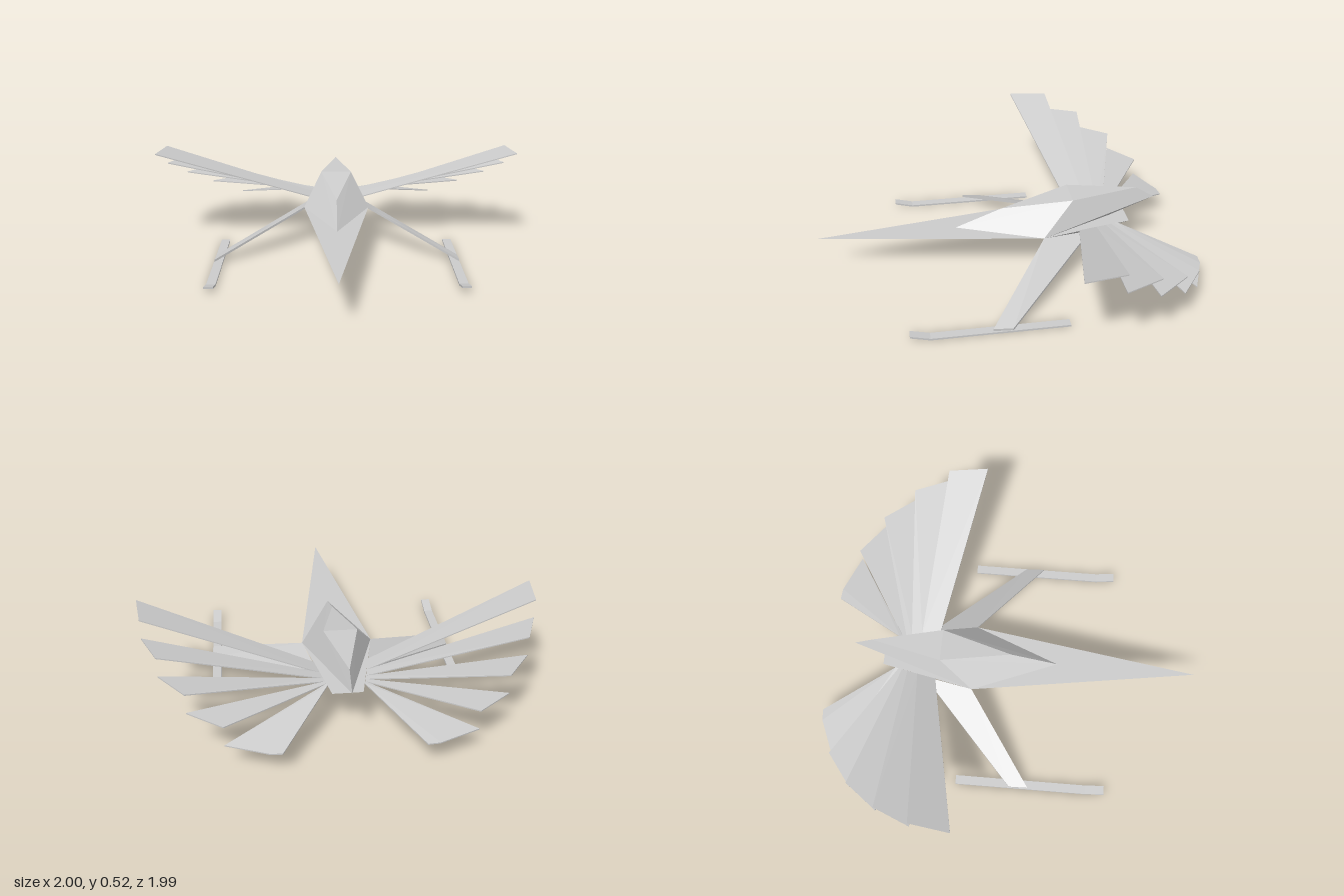
import * as THREE from 'three';
import { ConvexGeometry } from 'three/addons/geometries/ConvexGeometry.js';

const material = new THREE.MeshStandardMaterial({ color: 0xcccccc, flatShading: true, side: THREE.DoubleSide });

// Faceted solid wrapped around a few corner points
function solid(name, points) {
  const mesh = new THREE.Mesh(new ConvexGeometry(points.map(p => new THREE.Vector3(...p))), material);
  mesh.name = name;
  return mesh;
}

// Thin plate: an outline given a small vertical thickness
function plate(name, outline, t) {
  return solid(name, outline.flatMap(([x, y, z]) => [[x, y + t / 2, z], [x, y - t / 2, z]]));
}

// Adds both the +x and -x versions of a corner
const both = (x, y, z) => [[x, y, z], [-x, y, z]];

export function createModel() {
  const model = new THREE.Group();
  model.name = 'gliderCraft';

  // Long pointed lower hull with a V keel
  model.add(solid('lowerHull', [
    [0, 0.218, 0.99], ...both(0.18, 0.218, -0.2), ...both(0.075, 0.218, -0.69), [0, 0.12, -0.49],
  ]));

  // Faceted upper hull with a flat tapering roof
  model.add(solid('upperHull', [
    [0, 0.218, 0.25], [0, 0.315, 0], ...both(0.085, 0.38, -0.37), [0, 0.38, -0.74],
    [0, 0.315, -0.84], ...both(0.18, 0.218, -0.2), [0, 0.218, -0.6],
  ]));

  // Roots and tips of the fan blades, front to back
  const roots = [[0.137, -0.4], [0.117, -0.5], [0.106, -0.555], [0.099, -0.585], [0.095, -0.605], [0.09, -0.62]];
  const tips = [[1, -0.21], [0.97, -0.42], [0.89, -0.61], [0.76, -0.78], [0.59, -0.91], [0.33, -1]];

  for (const side of [1, -1]) {
    const half = new THREE.Group();
    half.name = side > 0 ? 'leftSide' : 'rightSide';
    const m = pts => pts.map(([x, y, z]) => [x * side, y, z]);

    // Five fan blades, each tip lower than the one in front
    for (let i = 0; i < 5; i++) {
      const y = 0.52 - 0.1 * i;
      const outline = [
        [roots[i][0], 0.22, roots[i][1]], [tips[i][0], y, tips[i][1]],
        [tips[i + 1][0], y, tips[i + 1][1]], [roots[i + 1][0], 0.22, roots[i + 1][1]],
      ];
      if (i === 4) outline.push([0.39, y, -0.995]);
      half.add(plate('wingBlade' + (i + 1), m(outline), 0.006));
    }

    // Swept leg down to the ski
    half.add(plate('leg', m([
      [0.18, 0.213, -0.2], [0.65, 0.022, 0.14], [0.65, 0.014, 0.04], [0.125, 0.2, -0.46],
    ]), 0.012));

    // Ski with an upturned front
    half.add(plate('ski', m([[0.608, 0.005, -0.25], [0.655, 0.005, -0.25], [0.655, 0.005, 0.45], [0.608, 0.005, 0.45]]), 0.01));
    half.add(plate('skiTip', m([[0.608, 0.005, 0.45], [0.655, 0.005, 0.45], [0.655, 0.03, 0.55], [0.608, 0.03, 0.55]]), 0.01));
    model.add(half);
  }
  return model;
}
